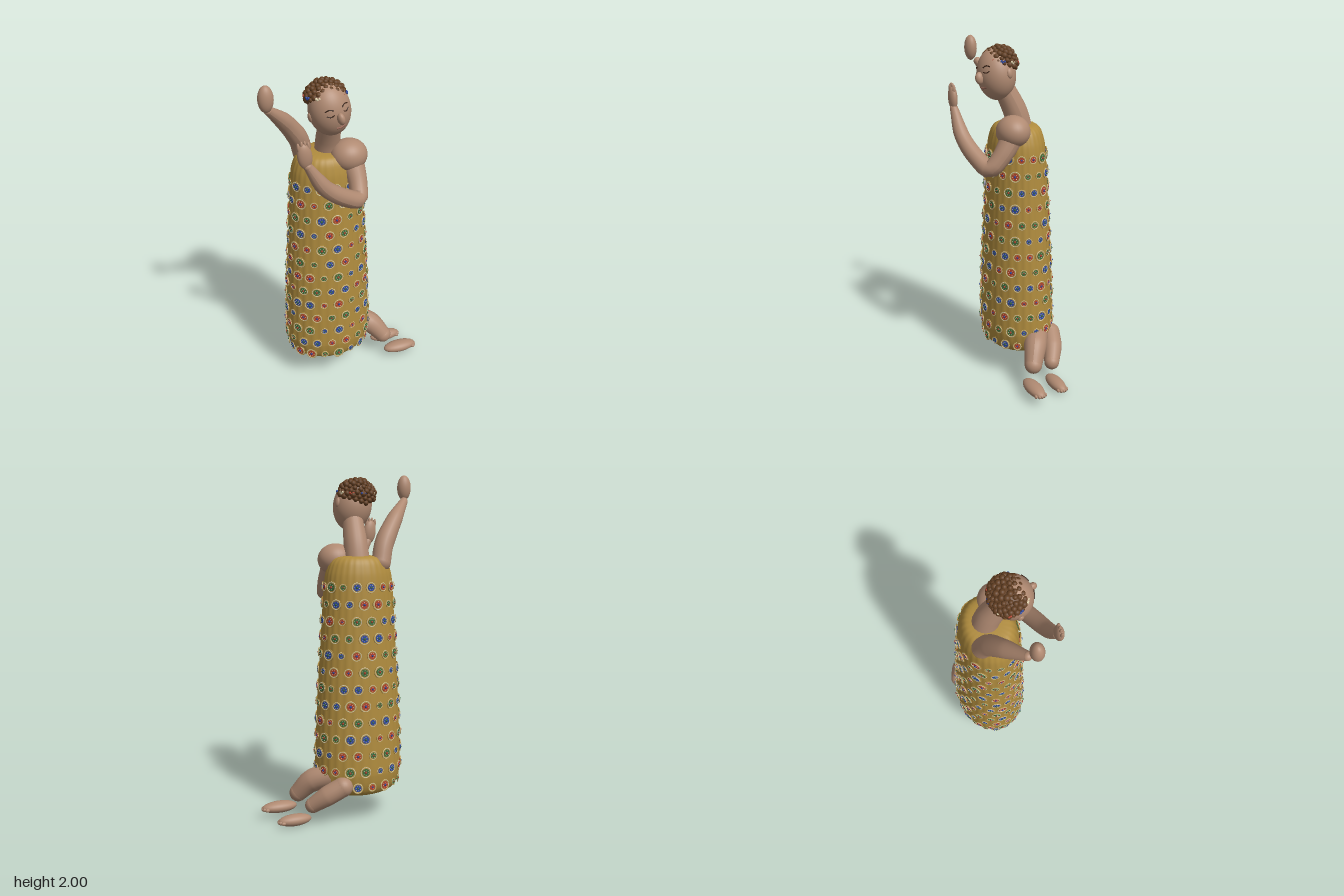
import * as THREE from 'three';
import { mergeGeometries } from 'three/addons/utils/BufferGeometryUtils.js';

const V = (x, y, z) => new THREE.Vector3(x, y, z);
const mat = (color) => new THREE.MeshStandardMaterial({ color });
const SKIN = mat(0xb08a72), GOLD = mat(0xb08c3e), HAIR = mat(0x633f22), DARK = mat(0x3a2418);
const CREAM = mat(0xe2d6b0), LIP = mat(0x9a6858);
const GEMS = [mat(0x3f6b3c), mat(0xb0402c), mat(0x2c48a0)];

function add(parent, name, geo, material, pos = V(0, 0, 0)) {
  const m = new THREE.Mesh(geo, material);
  m.name = name;
  m.position.copy(pos);
  parent.add(m);
  return m;
}

function ellipsoid(parent, name, pos, size, material = SKIN, rot = [0, 0, 0], seg = 24) {
  const m = add(parent, name, new THREE.SphereGeometry(1, seg, Math.ceil(seg * 0.7)), material, pos);
  m.scale.set(...size);
  m.rotation.set(...rot);
  return m;
}

// Round limb along a curve, its radius interpolated between the given values
function limb(parent, name, points, radii, material = SKIN) {
  const segs = 24, sides = 20;
  const curve = new THREE.CatmullRomCurve3(points);
  const geo = new THREE.TubeGeometry(curve, segs, 1, sides);
  const p = geo.attributes.position, v = V(0, 0, 0);
  for (let i = 0; i <= segs; i++) {
    const c = curve.getPointAt(i / segs);
    const f = (i / segs) * (radii.length - 1), k = Math.min(Math.floor(f), radii.length - 2);
    const r = THREE.MathUtils.lerp(radii[k], radii[k + 1], f - k);
    for (let j = 0; j <= sides; j++) {
      const n = i * (sides + 1) + j;
      v.fromBufferAttribute(p, n).sub(c).multiplyScalar(r).add(c);
      p.setXYZ(n, v.x, v.y, v.z);
    }
  }
  geo.computeVertexNormals();
  add(parent, name, geo, material);
  const ends = [[points[0], radii[0]], [points.at(-1), radii.at(-1)]];
  for (const [c, r] of ends) ellipsoid(parent, name + 'End', c, [r, r, r], material);
}

// Robe outline: radius and height, oval in plan
const PROFILE = [[0, 0.14], [0.12, 0.146], [0.2, 0.165], [0.238, 0.205], [0.256, 0.27], [0.258, 0.35], [0.244, 0.7],
  [0.226, 1], [0.21, 1.27], [0.2, 1.4], [0.188, 1.46], [0.165, 1.51], [0.12, 1.535], [0, 1.54]];
const OVAL = 0.79, CX = -0.085, CZ = -0.055;

function radiusAt(y) {
  const i = PROFILE.findIndex((q) => q[1] >= y), a = PROFILE[i - 1], b = PROFILE[i];
  return THREE.MathUtils.mapLinear(y, a[1], b[1], a[0], b[0]);
}

function buildRobe(root) {
  const pts = new THREE.SplineCurve(PROFILE.map((q) => new THREE.Vector2(...q))).getPoints(52);
  pts.forEach((q) => { q.x = Math.max(q.x, 0); });
  const geo = new THREE.LatheGeometry(pts, 120);
  const p = geo.attributes.position;
  for (let i = 0; i < p.count; i++) {
    // fine pleats
    const a = Math.atan2(p.getX(i), p.getZ(i)), k = 1 + 0.008 * Math.cos(a * 30);
    p.setXYZ(i, p.getX(i) * k, p.getY(i), p.getZ(i) * k * OVAL);
  }
  geo.computeVertexNormals();
  add(root, 'robe', geo, GOLD, V(CX, 0, CZ));
}

// Staggered rows of round medallions over the robe
function buildMedallions(root) {
  const disc = (r, h) => new THREE.CylinderGeometry(r, r, h, 16).rotateX(Math.PI / 2);
  const plate = disc(1, 0.12), gem = disc(0.62, 0.3), ring = new THREE.TorusGeometry(0.84, 0.07, 4, 16).translate(0, 0, 0.08);
  const boss = new THREE.SphereGeometry(0.2, 8, 5).translate(0, 0, 0.15);
  const dots = mergeGeometries(Array.from({ length: 6 }, (_, i) => {
    const a = (i * Math.PI) / 3;
    return new THREE.OctahedronGeometry(0.09).translate(0.42 * Math.cos(a), 0.42 * Math.sin(a), 0.16);
  }));
  const group = new THREE.Group();
  group.name = 'medallions';
  root.add(group);
  for (let row = 0; row < 13; row++) {
    const y = 0.22 + row * 0.0955, r = radiusAt(y);
    const count = row < 7 ? 18 : 16;
    for (let i = 0; i < count; i++) {
      const a = ((i + (row % 2) / 2) / count) * Math.PI * 2;
      const n = V(Math.sin(a), 0.05, Math.cos(a) / OVAL).normalize();
      const m = new THREE.Group();
      m.name = 'medallion';
      m.position.set(CX + r * Math.sin(a), y, CZ + r * OVAL * Math.cos(a)).addScaledVector(n, 0.008);
      m.quaternion.setFromUnitVectors(V(0, 0, 1), n);
      m.scale.setScalar([0.035, 0.027, 0.032, 0.023][(i * 3 + row * 2 + (i >> 2)) % 4]);
      const c = (i * 2 + row + (i >> 1)) % 3;
      add(m, 'plate', plate, GOLD);
      add(m, 'rim', ring, CREAM);
      add(m, 'inlay', gem, GEMS[c]);
      add(m, 'dots', dots, CREAM);
      add(m, 'boss', boss, GEMS[(c + 1) % 3]);
      group.add(m);
    }
  }
}

function buildHead(root) {
  limb(root, 'neck', [V(-0.07, 1.48, -0.075), V(-0.072, 1.6, -0.045), V(-0.085, 1.76, 0.03)], [0.075, 0.068, 0.058]);
  const head = new THREE.Group();
  head.name = 'head';
  head.position.set(-0.1, 1.822, 0.062);
  head.rotation.set(0, 0.18, 0.2);
  root.add(head);
  const size = [0.115, 0.145, 0.108];
  ellipsoid(head, 'skull', V(0, 0, 0), size, SKIN, [0, 0, 0], 36);
  const onFace = (x, y, out = 0.001) =>
    V(x, y, size[2] * Math.sqrt(1 - (x / size[0]) ** 2 - (y / size[1]) ** 2) + out);
  const line = (name, pts, r, m) => add(head, name,
    new THREE.TubeGeometry(new THREE.CatmullRomCurve3(pts.map((q) => onFace(...q))), 10, r, 6), m);
  // closed eyes and brows
  for (const s of [-1, 1]) {
    line('eyelid', [[s * 0.027, 0.018], [s * 0.045, 0.011], [s * 0.065, 0.019]], 0.003, DARK);
    line('brow', [[s * 0.025, 0.042], [s * 0.045, 0.05], [s * 0.067, 0.043]], 0.0035, DARK);
    ellipsoid(head, 'ear', V(s * 0.112, -0.005, -0.01), [0.012, 0.028, 0.018]);
  }
  ellipsoid(head, 'nose', onFace(0, -0.012, 0.008), [0.02, 0.034, 0.026]);
  line('mouth', [[-0.026, -0.066], [0, -0.07], [0.026, -0.066]], 0.005, LIP);

  // hair cap with curls, low at the nape and high on the forehead
  const c = V(-0.113, 1.882, 0.035), s = V(0.105, 0.088, 0.09);
  ellipsoid(root, 'hairCap', c, s.toArray(), HAIR);
  const curl = new THREE.SphereGeometry(1, 10, 7);
  for (let i = 0; i < 150; i++) {
    const y = 1 - (2 * (i + 0.5)) / 150, a = i * 2.39996, w = Math.sqrt(1 - y * y);
    const d = V(w * Math.sin(a), y, w * Math.cos(a));
    if (y < -0.1 + 0.35 * d.z + (d.z < 0 ? 0.2 * d.z : 0)) continue;
    add(root, 'curl', curl, HAIR, d.multiply(s).add(c)).scale.setScalar(0.013 + 0.005 * ((i * 7) % 5) / 4);
  }
  // little bead clusters tucked among the curls
  const beads = [CREAM, GEMS[1], GEMS[2]], bead = new THREE.SphereGeometry(0.007, 8, 6);
  for (let i = 0; i < 10; i++) for (let j = -1; j <= 1; j++) {
    const a = (i / 10) * Math.PI * 2 + j * 0.09;
    add(root, 'hairBead', bead, beads[i % 3],
      V(c.x + 0.113 * Math.sin(a), c.y + 0.012 + 0.006 * (j & 1) + 0.012 * Math.cos(a), c.z + 0.098 * Math.cos(a)));
  }
}

function buildArms(root) {
  // left arm folded across the chest
  ellipsoid(root, 'leftShoulder', V(0.025, 1.515, 0.02), [0.105, 0.092, 0.096], SKIN, [0, 0, 0], 32);
  limb(root, 'leftArm', [V(0.04, 1.47, 0.04), V(0.045, 1.38, 0.105), V(0.025, 1.315, 0.165), V(-0.06, 1.355, 0.2),
    V(-0.19, 1.46, 0.235), V(-0.285, 1.61, 0.245)], [0.065, 0.052, 0.05, 0.048, 0.042, 0.024]);
  ellipsoid(root, 'leftHand', V(-0.3, 1.67, 0.245), [0.04, 0.072, 0.025], SKIN, [0, 0, 0.12]);
  for (let i = 0; i < 4; i++) {
    ellipsoid(root, 'leftFinger', V(-0.333 + i * 0.018, 1.722 + (i % 3 ? 0.008 : 0), 0.245),
      [0.009, 0.027, 0.01], SKIN, [0, 0, 0.1], 12);
  }
  // right arm raised outward
  limb(root, 'rightArm', [V(-0.195, 1.5, -0.125), V(-0.225, 1.6, -0.1), V(-0.31, 1.73, -0.05), V(-0.42, 1.85, 0.03)],
    [0.056, 0.056, 0.046, 0.024]);
  ellipsoid(root, 'rightHand', V(-0.44, 1.93, 0.066), [0.042, 0.073, 0.036]);
}

function buildLegs(root) {
  limb(root, 'leftLeg', [V(0.1, 0.27, -0.1), V(0.2, 0.235, -0.04), V(0.27, 0.155, 0.01)], [0.07, 0.068, 0.052]);
  limb(root, 'rightLeg', [V(0.08, 0.23, -0.21), V(0.16, 0.18, -0.18), V(0.235, 0.12, -0.135)], [0.058, 0.058, 0.045]);
  const feet = [['left', 0.37, 0.066, 0.06, 0.107, 0.047], ['right', 0.335, 0.037, -0.107, 0.1, 0.043]];
  for (const [side, x, y, z, len, w] of feet) {
    ellipsoid(root, side + 'Foot', V(x, y, z), [len, 0.034, w]);
    for (let i = 0; i < 5; i++) {
      const t = (i - 2) / 2;
      ellipsoid(root, side + 'Toe', V(x + len * (0.92 - 0.14 * t * t), y - 0.004, z + t * w * 0.65),
        [0.014, 0.011, 0.009], SKIN, [0, 0, 0], 10);
    }
  }
}

export function createModel() {
  const root = new THREE.Group();
  root.name = 'robedFigure';
  buildRobe(root);
  buildMedallions(root);
  buildHead(root);
  buildArms(root);
  buildLegs(root);
  return root;
}
